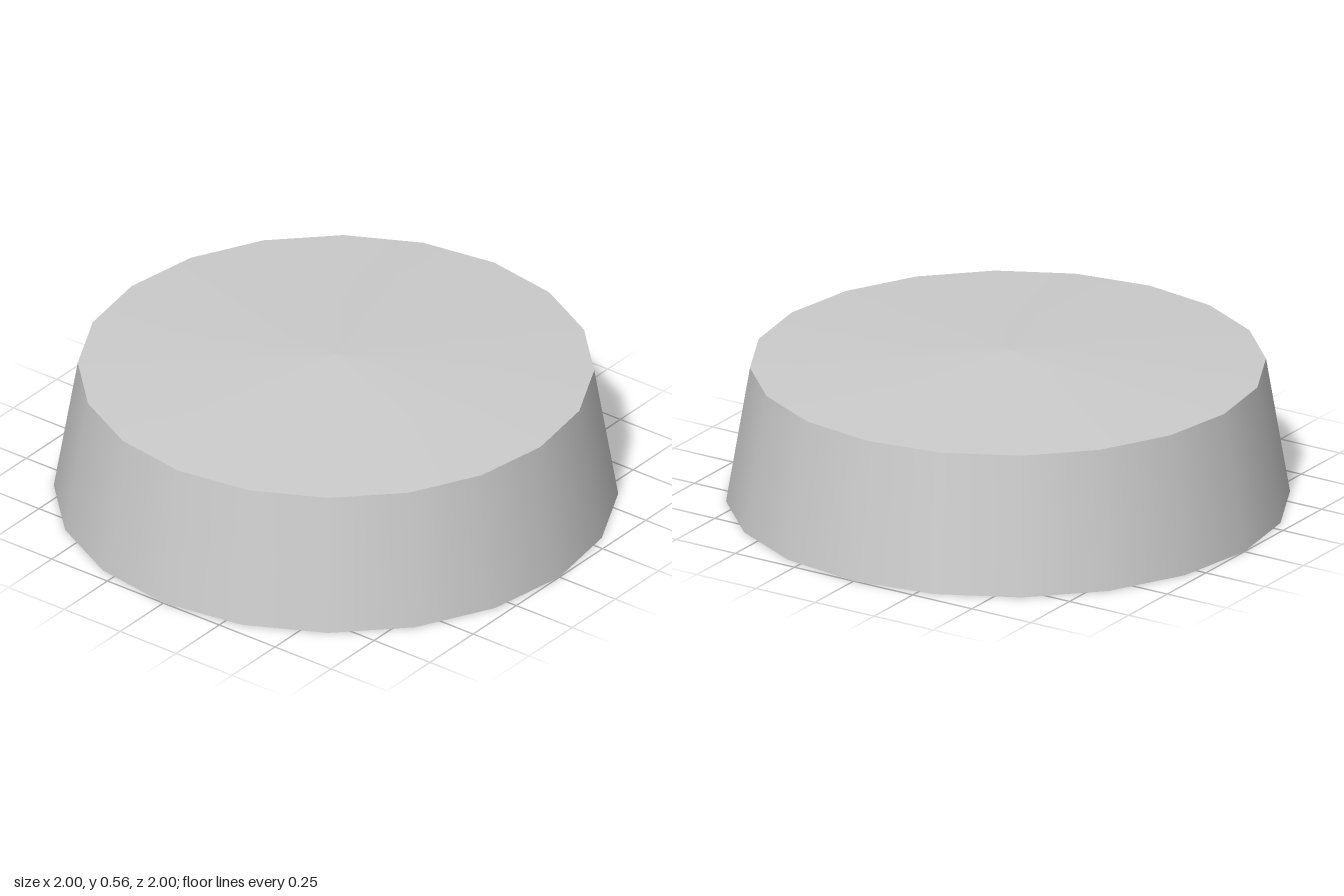
import * as THREE from 'three';

const SIDES = 20;

export function createModel() {
  const group = new THREE.Group();
  group.name = 'hollowCap';
  const material = new THREE.MeshStandardMaterial({ color: 0xcccccc });

  // One turned band between two profile points, smooth around, sharp at its rims
  const band = (name, from, to) => {
    const points = [new THREE.Vector2(...from), new THREE.Vector2(...to)];
    const mesh = new THREE.Mesh(new THREE.LatheGeometry(points, SIDES), material);
    mesh.name = name;
    group.add(mesh);
  };

  // Profile corners as [radius, height]
  const base = [1, 0];
  const shoulder = [0.915, 0.505];
  const apex = [0, 0.555];
  const ceilingCentre = [0, 0.45];
  const ceilingEdge = [0.81, 0.45];
  const innerBase = [0.885, 0];

  band('outerWall', base, shoulder);
  band('topCone', shoulder, apex);
  band('innerCeiling', ceilingCentre, ceilingEdge);
  band('innerWall', ceilingEdge, innerBase);
  band('bottomRim', innerBase, base);

  return group;
}
